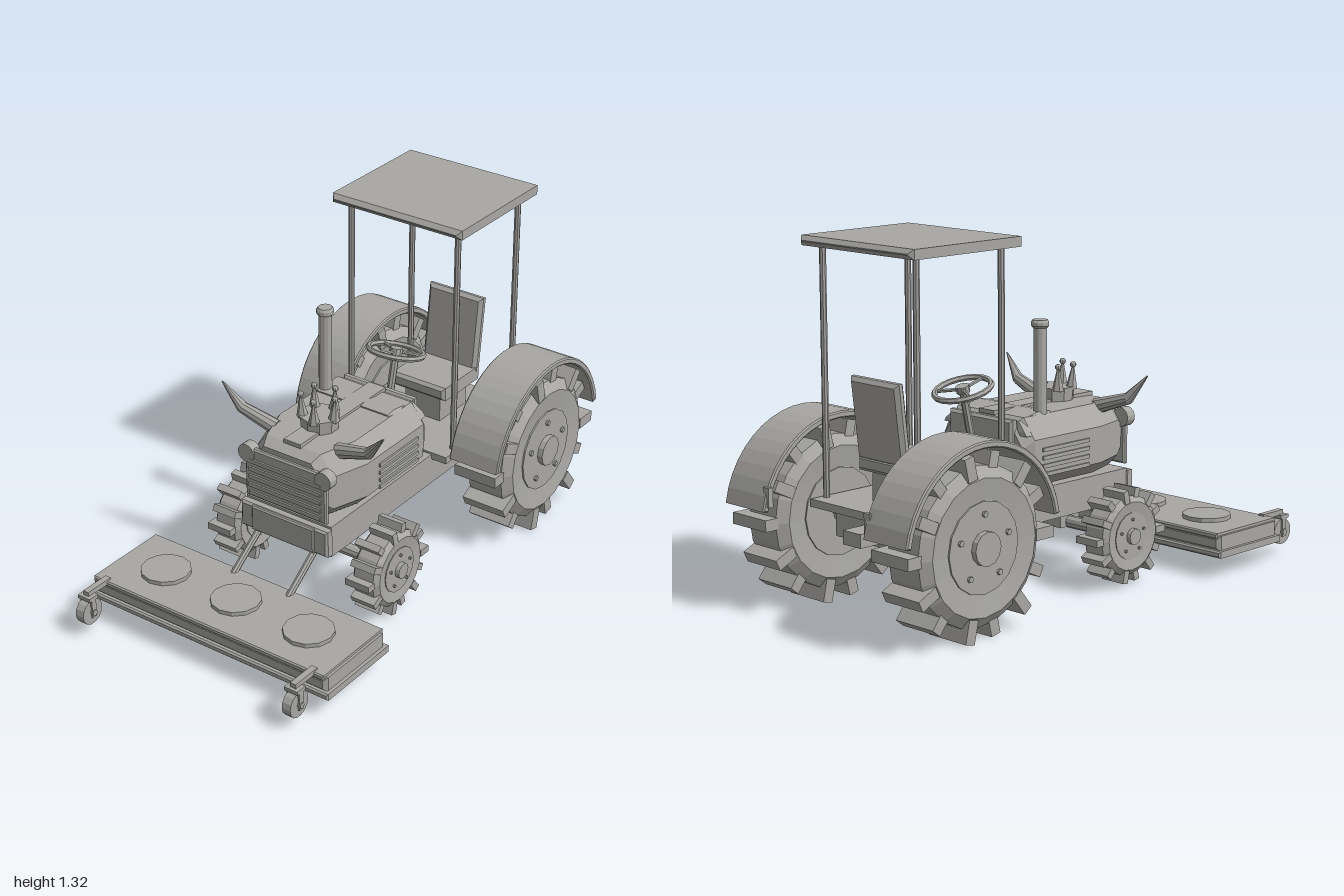
import * as THREE from 'three';
import { ConvexGeometry } from 'three/addons/geometries/ConvexGeometry.js';

const grey = new THREE.MeshStandardMaterial({ color: 0xa8a7a4, flatShading: true });
grey.name = 'plain grey';
const V = (x, y, z) => new THREE.Vector3(x, y, z);

export function createModel() {
  const model = new THREE.Group();
  model.name = 'tractor';

  const add = (name, geo, x = 0, y = 0, z = 0, parent = model) => {
    const mesh = new THREE.Mesh(geo, grey);
    mesh.name = name;
    mesh.position.set(x, y, z);
    parent.add(mesh);
    return mesh;
  };
  const box = (w, h, d) => new THREE.BoxGeometry(w, h, d);
  // Extruded outline with a single chamfer, centred along its depth
  const extrude = (shape, depth, b, curveSegments = 1) => {
    const geo = new THREE.ExtrudeGeometry(shape, {
      depth: depth - 2 * b, bevelThickness: b, bevelSize: b, bevelSegments: 1, curveSegments });
    return geo.translate(0, 0, b - depth / 2);
  };
  const bevelBox = (w, h, d, b) => {
    const x = w / 2 - b, y = h / 2 - b;
    return extrude(new THREE.Shape([[-x, -y], [x, -y], [x, y], [-x, y]].map(p => new THREE.Vector2(...p))), d, b);
  };
  const cylX = (r, w, n = 16) => new THREE.CylinderGeometry(r, r, w, n).rotateZ(-Math.PI / 2);
  // Round bar between two points
  const rod = (name, a, b, r0, r1 = r0, n = 8, parent = model) => {
    const d = b.clone().sub(a);
    const mesh = add(name, new THREE.CylinderGeometry(r1, r0, d.length(), n), 0, 0, 0, parent);
    mesh.position.copy(a).addScaledVector(d, 0.5);
    mesh.quaternion.setFromUnitVectors(V(0, 1, 0), d.normalize());
    return mesh;
  };

  // Lugged wheel facing +x
  const wheel = (name, r, w, lugOut, lugW, rimR, hubR, hubX) => {
    const g = new THREE.Group();
    g.name = name;
    const c = r * 0.14;
    const profile = [[0, -w * 0.45], [rimR, -w * 0.45], [r - c, -w / 2], [r, -w * 0.36], [r, w * 0.36],
      [r - c, w / 2], [rimR, w * 0.45], [0, w * 0.45]].map(p => new THREE.Vector2(...p));
    add('tyre', new THREE.LatheGeometry(profile, 20).rotateZ(-Math.PI / 2), 0, 0, 0, g);
    for (let i = 0; i < 14; i++) {
      const a = i * Math.PI / 7, inner = r * 0.87, mid = (inner + lugOut) / 2;
      const lug = add('lug', box(w * 0.9, lugOut - inner, lugW), (i % 2 ? 1 : -1) * w * 0.06,
        Math.sin(a) * mid, Math.cos(a) * mid, g);
      lug.rotation.x = Math.PI / 2 - a;
    }
    add('rim', cylX(rimR * 0.98, w * 0.96, 16), 0, 0, 0, g);
    add('hub', cylX(hubR, hubX, 12), hubX / 2, 0, 0, g);
    for (let i = 0; i < 5; i++) {
      const a = i * Math.PI * 0.4 + Math.PI / 2, q = (hubR + rimR) * 0.52;
      add('bolt', cylX(hubR * 0.18, 0.015, 6), w * 0.49, Math.sin(a) * q, Math.cos(a) * q, g);
    }
    return g;
  };
  for (const s of [-1, 1]) {
    const rear = wheel('rearWheel', 0.28, 0.2, 0.328, 0.042, 0.165, 0.06, 0.117);
    rear.position.set(s * 0.362, 0.33, -0.636);
    const front = wheel('frontWheel', 0.148, 0.115, 0.177, 0.026, 0.09, 0.03, 0.072);
    front.position.set(s * 0.315, 0.198, 0.206);
    for (const g of [rear, front]) {
      if (s < 0) g.rotation.y = Math.PI;
      model.add(g);
    }

    // Arched fender over the rear wheel
    const arch = new THREE.Shape();
    arch.absarc(0, 0, 0.36, 0.18, Math.PI - 0.18, false);
    arch.absarc(0, 0, 0.345, Math.PI - 0.18, 0.18, true);
    add('fender', extrude(arch, 0.212, 0.005, 10).rotateY(-Math.PI / 2), s * 0.361, 0.33, -0.636);
    add('tailLight', box(0.03, 0.07, 0.02), s * 0.26, 0.44, -0.97);

    // Roof posts
    for (const z of [-0.33, -0.727]) rod('roofPost', V(s * 0.235, 0.38, z), V(s * 0.235, 1.3, z), 0.012);

    // Headlights, horns and side vents
    add('headlight', new THREE.CylinderGeometry(0.036, 0.036, 0.04, 14).rotateX(Math.PI / 2), s * 0.17, 0.588, 0.38);
    const bend = V(s * 0.28, 0.685, 0.278);
    rod('hornBase', V(s * 0.14, 0.64, 0.26), bend, 0.03, 0.022, 10);
    add('hornBend', new THREE.SphereGeometry(0.022, 10, 6), bend.x, bend.y, bend.z);
    rod('hornTip', bend, V(s * 0.357, 0.775, 0.295), 0.022, 0.003, 10);
    for (let i = 0; i < 4; i++) add('sideVent', box(0.01, 0.014, 0.24), s * 0.224, 0.455 + i * 0.03, 0.01);

    // Lift arms and caster wheels of the mower
    rod('liftArm', V(s * 0.125, 0.155, 0.56), V(s * 0.125, 0.3, 0.36), 0.013);
    const x = s * 0.463;
    add('casterArm', box(0.024, 0.02, 0.12), x, 0.172, 0.9);
    add('casterCap', box(0.056, 0.014, 0.045), x, 0.158, 0.95);
    for (const t of [-1, 1]) add('casterFork', box(0.007, 0.08, 0.022), x + t * 0.024, 0.12, 0.95);
    add('casterWheel', cylX(0.05, 0.036, 14), x, 0.098, 0.95);
    add('casterAxle', cylX(0.012, 0.062, 8), x, 0.098, 0.95);
  }

  // Roof
  add('roof', bevelBox(0.568, 0.036, 0.53, 0.016), 0, 1.31, -0.53);

  // Chassis, floor, axles and hitch
  add('chassis', box(0.38, 0.125, 1.1), 0, 0.333, -0.175);
  add('floor', box(0.51, 0.028, 0.53), 0, 0.389, -0.52);
  add('frontPlate', bevelBox(0.39, 0.105, 0.04, 0.008), 0, 0.335, 0.388);
  add('frontBlock', bevelBox(0.28, 0.1, 0.02, 0.005), 0, 0.335, 0.405);
  add('rearAxle', cylX(0.035, 0.66, 10), 0, 0.33, -0.636);
  add('frontAxle', cylX(0.024, 0.58, 10), 0, 0.198, 0.206);
  add('axleMount', box(0.12, 0.11, 0.1), 0, 0.235, 0.206);
  add('hitch', box(0.09, 0.05, 0.1), 0, 0.31, -0.77);

  // Hood: chamfered sections narrowing towards the grille
  const hoodPoints = [];
  for (const [z, w, lo, hi] of [[-0.19, 0.2, 0.45, 0.63], [-0.15, 0.222, 0.405, 0.66],
    [0.2, 0.222, 0.405, 0.66], [0.34, 0.175, 0.405, 0.655], [0.38, 0.16, 0.44, 0.63]]) {
    for (const s of [-1, 1]) {
      hoodPoints.push(V(s * (w - 0.055), hi, z), V(s * w, hi - 0.075, z),
        V(s * w, lo + 0.045, z), V(s * (w - 0.045), lo, z));
    }
  }
  add('hood', new ConvexGeometry(hoodPoints));
  add('hoodRidge', box(0.075, 0.016, 0.52), 0, 0.662, 0.09);
  add('grille', bevelBox(0.36, 0.2, 0.024, 0.006), 0, 0.51, 0.382);
  for (let i = 0; i < 5; i++) add('grilleSlat', box(0.32, 0.016, 0.012), 0, 0.43 + i * 0.033, 0.395);

  // Cowl wedge and dashboard
  const cowl = [];
  for (const s of [-1, 1]) {
    cowl.push(V(s * 0.21, 0.6, -0.01), V(s * 0.16, 0.665, -0.01), V(s * 0.21, 0.6, -0.18),
      V(s * 0.2, 0.615, -0.18), V(s * 0.16, 0.672, -0.05), V(s * 0.16, 0.65, -0.17));
  }
  add('cowl', new ConvexGeometry(cowl));
  add('dashboard', bevelBox(0.32, 0.155, 0.036, 0.01), 0, 0.578, -0.188);

  // Exhaust stack
  rod('exhaustPipe', V(-0.146, 0.62, -0.045), V(-0.146, 0.98, -0.045), 0.025, 0.025, 12);
  add('exhaustCap', new THREE.LatheGeometry([[0, 0], [0.027, 0], [0.033, 0.008], [0.033, 0.02], [0.027, 0.029], [0, 0.029]]
    .map(p => new THREE.Vector2(...p)), 12), -0.146, 0.969, -0.045);

  // Crown with five ball-tipped spikes
  const crown = new THREE.Group();
  crown.name = 'crown';
  crown.position.set(0, 0.655, 0.185);
  model.add(crown);
  add('crownBand', new THREE.CylinderGeometry(0.075, 0.07, 0.055, 10), 0, 0.027, 0, crown);
  for (let i = 0; i < 5; i++) {
    const a = i * Math.PI * 0.4, x = Math.cos(a), z = Math.sin(a);
    rod('crownSpike', V(x * 0.062, 0.045, z * 0.062), V(x * 0.068, 0.13, z * 0.068), 0.022, 0.004, 6, crown);
    add('crownBall', new THREE.SphereGeometry(0.012, 8, 6), x * 0.068, 0.134, z * 0.068, crown);
  }

  // Steering column and wheel
  rod('steeringColumn', V(0, 0.4, -0.208), V(0, 0.76, -0.288), 0.015);
  const steering = new THREE.Group();
  steering.name = 'steeringWheel';
  steering.position.set(0, 0.76, -0.288);
  steering.rotation.x = -0.27;
  model.add(steering);
  add('steeringRim', new THREE.TorusGeometry(0.104, 0.011, 6, 20).rotateX(Math.PI / 2), 0, 0, 0, steering);
  add('steeringHub', new THREE.CylinderGeometry(0.025, 0.025, 0.025, 10), 0, 0, 0, steering);
  for (let i = 0; i < 3; i++) {
    const a = Math.PI / 2 + i * Math.PI * 2 / 3;
    rod('steeringSpoke', V(0, 0, 0), V(Math.cos(a) * 0.1, 0, Math.sin(a) * 0.1), 0.007, 0.007, 6, steering);
  }

  // Seat
  add('seatPedestal', box(0.16, 0.13, 0.18), 0, 0.46, -0.56);
  add('seatCushion', bevelBox(0.24, 0.055, 0.25, 0.012), 0, 0.54, -0.56);
  add('seatBack', bevelBox(0.245, 0.3, 0.042, 0.014), 0, 0.7, -0.68).rotation.x = -0.12;

  // Front mower deck
  add('mowerLip', bevelBox(1.076, 0.026, 0.365, 0.006), 0, 0.098, 0.687);
  add('mowerBody', bevelBox(1.05, 0.06, 0.345, 0.014), 0, 0.135, 0.687);
  add('mowerTop', bevelBox(1.03, 0.022, 0.35, 0.005), 0, 0.164, 0.687);
  for (const x of [-0.322, 0, 0.322]) add('spindleCover', new THREE.CylinderGeometry(0.093, 0.093, 0.025, 12), x, 0.178, 0.685);

  return model;
}
